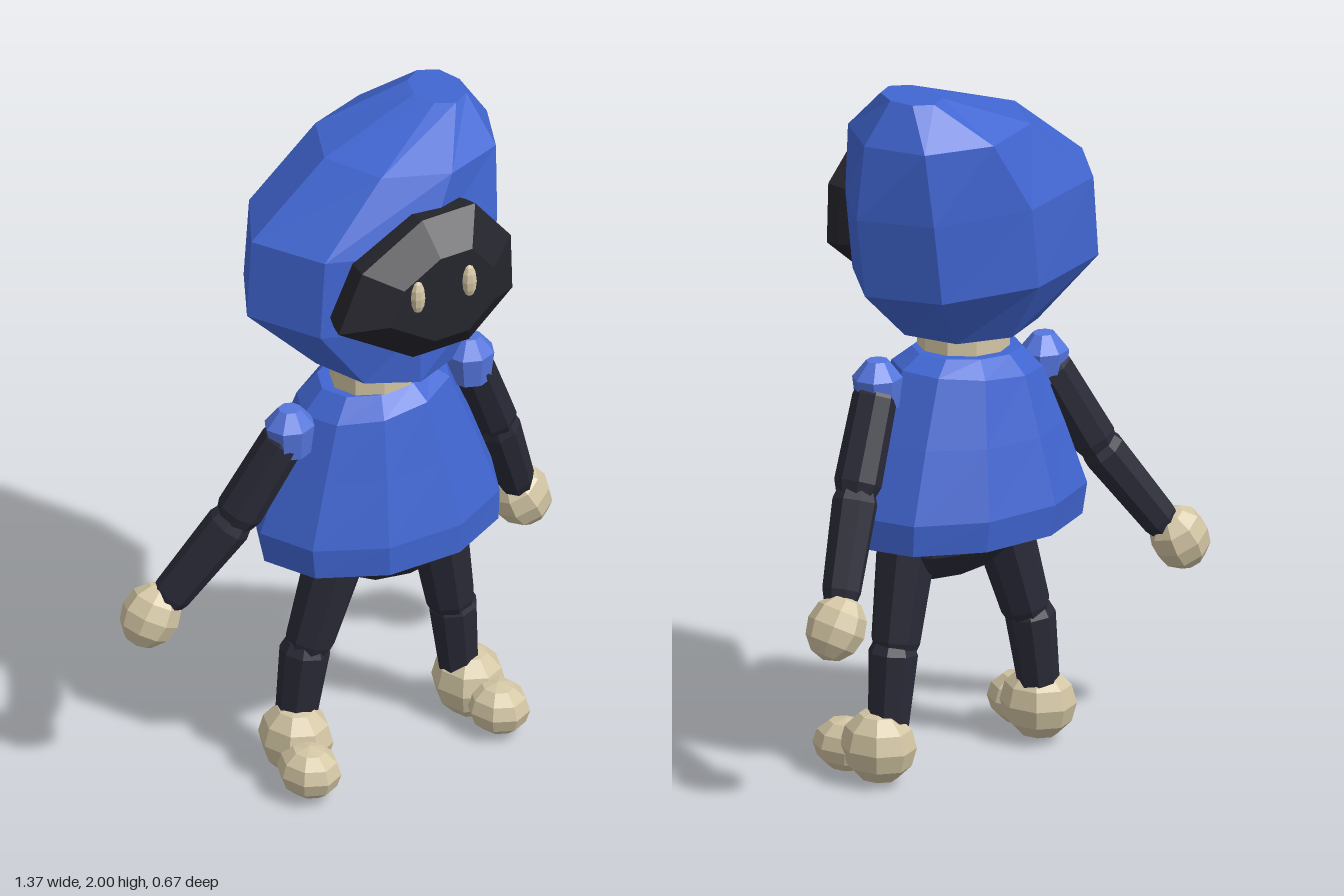
import * as THREE from 'three';

const mat = (name, color) => {
  const m = new THREE.MeshStandardMaterial({ color, flatShading: true });
  m.name = name;
  return m;
};

// Skin a stack of point rings and cap both ends
function loft(rings) {
  const n = rings[0].length, pos = [], idx = [];
  rings.forEach(r => r.forEach(p => pos.push(...p)));
  for (let r = 0; r < rings.length - 1; r++) {
    for (let j = 0; j < n; j++) {
      const a = r * n + j, b = r * n + (j + 1) % n;
      idx.push(a, a + n, b, b, a + n, b + n);
    }
  }
  const top = (rings.length - 1) * n;
  for (let j = 1; j < n - 1; j++) {
    idx.push(0, j, j + 1, top, top + j + 1, top + j);
  }
  const g = new THREE.BufferGeometry();
  g.setAttribute('position', new THREE.Float32BufferAttribute(pos, 3));
  g.setIndex(idx);
  const flat = g.toNonIndexed();
  flat.computeVertexNormals();
  return flat;
}

// Horizontal elliptical ring; tilt raises the +x side
function ring(n, cx, cy, cz, rx, rz, tilt = 0) {
  return Array.from({ length: n }, (_, i) => {
    const a = (i / n) * Math.PI * 2;
    return [cx + rx * Math.cos(a), cy + tilt * Math.cos(a), cz + rz * Math.sin(a)];
  });
}

export function createModel() {
  const blue = mat('blue cloth', 0x4166d2);
  const lightBlue = mat('light blue shoulder', 0x5575dc);
  const dark = mat('dark suit', 0x2a2a38);
  const black = mat('black face', 0x25252d);
  const cream = mat('cream', 0xd3c6a4);

  const model = new THREE.Group();
  model.name = 'hoodedFigure';
  const add = (name, geo, material, parent = model) => {
    const m = new THREE.Mesh(geo, material);
    m.name = name;
    parent.add(m);
    return m;
  };

  // Faceted ellipsoid
  const blob = (name, material, c, s, parent) => {
    const m = add(name, new THREE.SphereGeometry(1, 8, 6), material, parent);
    m.position.set(...c);
    m.scale.set(...s);
    return m;
  };

  // Eight-sided limb segment with tapered ends
  const limb = (name, from, to, r0, r1, parent) => {
    const a = new THREE.Vector3(...from), d = new THREE.Vector3(...to).sub(a);
    const len = d.length();
    const profile = [[0, 0], [r0 * 0.8, 0], [r0, 0.12], [r1, 0.88], [r1 * 0.8, 1], [0, 1]]
      .map(([r, t]) => new THREE.Vector2(r, t * len));
    const m = add(name, new THREE.LatheGeometry(profile, 8), dark, parent);
    m.position.copy(a);
    m.quaternion.setFromUnitVectors(new THREE.Vector3(0, 1, 0), d.normalize());
  };

  // Hood leaning up towards the left
  add('hood', loft([
    ring(8, 0.03, 1.285, 0, 0.2, 0.22, -0.01),
    ring(8, 0.027, 1.46, -0.055, 0.385, 0.28, -0.02),
    ring(8, 0.052, 1.69, -0.06, 0.393, 0.277, -0.02),
    ring(8, 0.16, 1.89, -0.065, 0.262, 0.24, -0.01),
    ring(8, 0.27, 2.0, -0.08, 0.073, 0.1),
  ]), blue);

  // Domed dark face set into the front of the hood
  const outline = [
    [-0.24, 1.53], [-0.165, 1.7], [0.03, 1.81], [0.2, 1.81],
    [0.315, 1.67], [0.32, 1.5], [0.18, 1.38], [0, 1.38],
  ];
  const faceRing = (s, z) => outline.map(([x, y]) =>
    [0.05 + (x - 0.05) * s, 1.6 + (y - 1.6) * s, z]);
  add('face', loft([
    faceRing(0.8, 0.05), faceRing(0.97, 0.19), faceRing(1, 0.23), faceRing(0.6, 0.312),
  ]), black);
  for (const x of [-0.038, 0.128]) {
    blob('eye', cream, [x, 1.63, 0.315], [0.022, 0.05, 0.02]);
  }

  // Neck
  add('neck', loft([
    ring(10, 0.025, 1.15, 0, 0.135, 0.115), ring(10, 0.025, 1.31, 0, 0.135, 0.115),
  ]), cream);

  // Flared tunic with a short vertical hem
  add('tunic', loft([
    ring(10, 0.04, 0.7, -0.018, 0.365, 0.258),
    ring(10, 0.037, 0.79, -0.022, 0.373, 0.267),
    ring(10, 0.033, 0.98, -0.02, 0.3, 0.222, 0.01),
    ring(10, 0.025, 1.155, -0.016, 0.225, 0.177, 0.025),
    ring(10, 0.025, 1.205, -0.016, 0.165, 0.13, 0.01),
  ]), blue);

  // Hips under the hem
  add('hips', loft([
    ring(8, 0.09, 0.57, 0, 0.14, 0.07),
    ring(8, 0.06, 0.65, 0, 0.22, 0.145),
    ring(8, 0.05, 0.73, 0, 0.23, 0.15),
  ]), dark);

  // Legs and feet: hip, knee, ankle, rear of foot, toe
  const legs = [
    { side: 'right', hip: [-0.1, 0.7, 0.01], knee: [-0.195, 0.37, -0.01], ankle: [-0.225, 0.15, -0.02],
      foot: [-0.235, 0.115, 0.0], toe: [-0.27, 0.085, 0.125] },
    { side: 'left', hip: [0.21, 0.7, 0.01], knee: [0.275, 0.36, -0.01], ankle: [0.305, 0.14, -0.02],
      foot: [0.33, 0.11, -0.01], toe: [0.345, 0.085, 0.115] },
  ];
  for (const l of legs) {
    const g = new THREE.Group();
    g.name = l.side + 'Leg';
    model.add(g);
    limb('thigh', l.hip, l.knee, 0.085, 0.07, g);
    limb('shin', [l.knee[0], l.knee[1] + 0.04, l.knee[2]], l.ankle, 0.07, 0.058, g);
    blob('foot', cream, l.foot, [0.1, 0.105, 0.115], g);
    blob('toe', cream, l.toe, [0.085, 0.075, 0.1], g);
  }

  // Arms: shoulder, elbow, wrist, hand
  const arms = [
    { side: 'right', shoulder: [-0.255, 1.11, 0], elbow: [-0.4, 0.83, -0.06],
      wrist: [-0.575, 0.58, -0.14], hand: [-0.61, 0.55, -0.15] },
    { side: 'left', shoulder: [0.325, 1.155, 0], elbow: [0.45, 0.87, -0.06],
      wrist: [0.56, 0.6, -0.13], hand: [0.587, 0.545, -0.15] },
  ];
  for (const a of arms) {
    const g = new THREE.Group();
    g.name = a.side + 'Arm';
    model.add(g);
    const s = a.shoulder;
    add('shoulderCap', loft([
      ring(8, s[0], s[1] - 0.065, s[2], 0.06, 0.06),
      ring(8, s[0], s[1] + 0.02, s[2], 0.072, 0.067),
      ring(8, s[0], s[1] + 0.068, s[2], 0.032, 0.03),
    ]), lightBlue, g);
    limb('upperArm', s, a.elbow, 0.062, 0.066, g);
    const start = a.elbow.map((v, i) => v + (s[i] - v) * 0.08);
    limb('forearm', start, a.wrist, 0.064, 0.055, g);
    const hand = blob('hand', cream, a.hand, [0.085, 0.095, 0.08], g);
    hand.rotation.z = a.side === 'left' ? 0.5 : -0.5;
  }

  return model;
}
